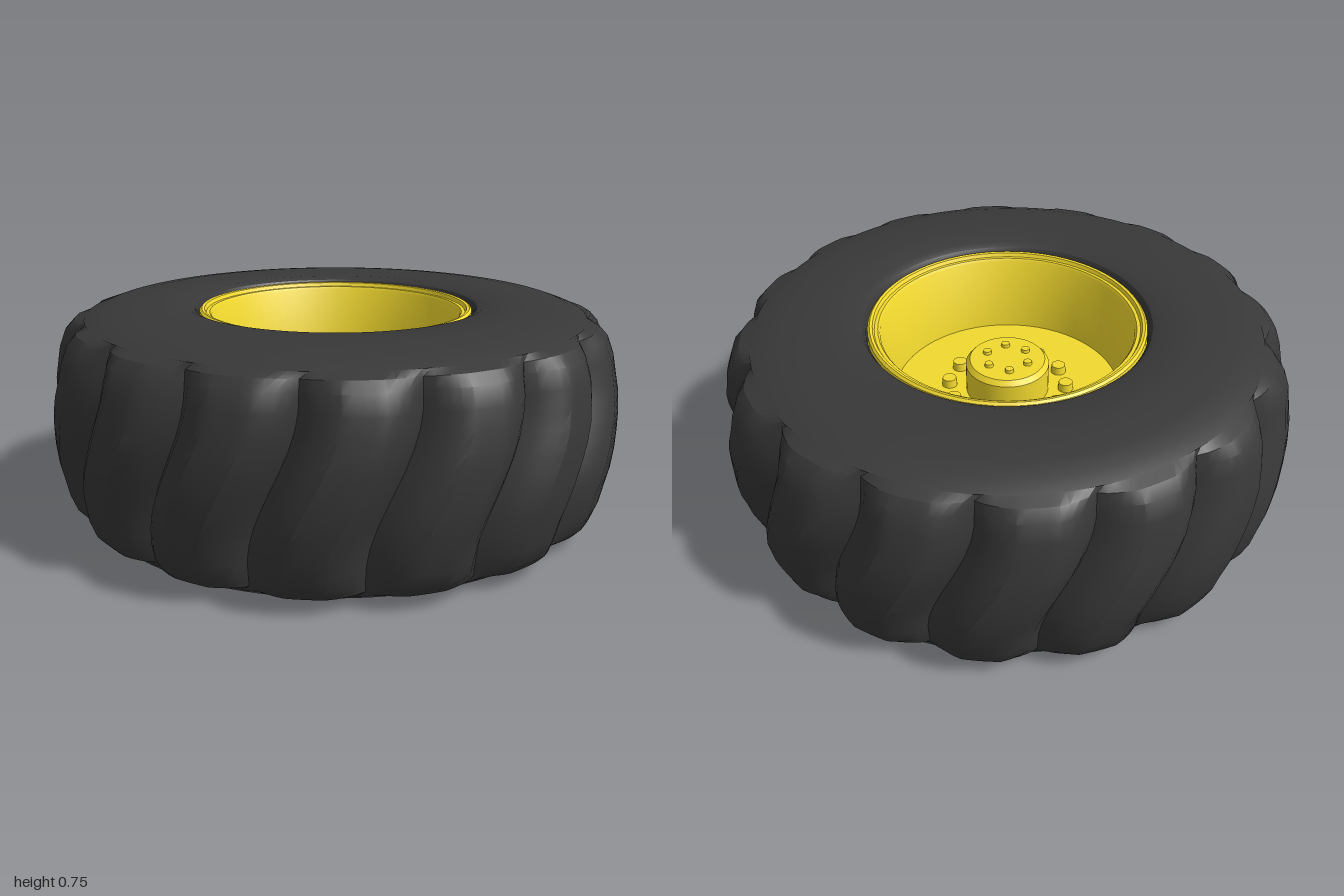
import * as THREE from 'three';
import { toCreasedNormals } from 'three/addons/utils/BufferGeometryUtils.js';

const MID = 0.3775; // half the wheel's width; parts are built around y = 0
const LUGS = 16;
const rubber = new THREE.MeshStandardMaterial({ color: 0x383838, side: THREE.DoubleSide });
const paint = new THREE.MeshStandardMaterial({ color: 0xf2d92e, side: THREE.DoubleSide });

function add(parent, name, geometry, material) {
  const mesh = new THREE.Mesh(geometry, material);
  mesh.name = name;
  parent.add(mesh);
  return mesh;
}

// Revolved profile with crisp edges
function lathe(points, segments = 64) {
  const profile = points.map(([r, y]) => new THREE.Vector2(r, y));
  return toCreasedNormals(new THREE.LatheGeometry(profile, segments), 0.5);
}

// Lugged tread: each ring blends a groove and a crest profile, twisted in an S
function treadGeometry() {
  // [crest radius, crest height, groove radius, groove height], centre to shoulder
  const half = [
    [1.01, 0, 0.915, 0], [1.009, 0.06, 0.914, 0.06], [1.003, 0.12, 0.91, 0.12],
    [0.99, 0.18, 0.905, 0.18], [0.978, 0.24, 0.9, 0.235], [0.955, 0.3, 0.893, 0.29],
    [0.925, 0.332, 0.888, 0.325], [0.88, 0.347, 0.88, 0.345],
  ];
  const rings = [
    ...half.slice(1).reverse().map(([a, b, c, d]) => [a, -b, c, -d]),
    ...half,
  ];
  const steps = 12;
  const count = LUGS * steps;
  const positions = [];
  const index = [];
  rings.forEach(([cr, cy, gr, gy], j) => {
    const twist = (THREE.MathUtils.smoothstep(gy, -0.26, 0.26) - 0.5) * 0.18;
    for (let i = 0; i < count; i++) {
      const wave = Math.abs(Math.sin((i / steps) * Math.PI));
      const f = Math.min(1, 1.12 * Math.pow(wave, 0.8));
      const angle = (i / count) * Math.PI * 2 + twist;
      const r = THREE.MathUtils.lerp(gr, cr, f);
      positions.push(r * Math.sin(angle), THREE.MathUtils.lerp(gy, cy, f), r * Math.cos(angle));
      if (j < rings.length - 1) {
        const a = j * count + i;
        const b = j * count + ((i + 1) % count);
        index.push(a, b, b + count, a, b + count, a + count);
      }
    }
  });
  const geometry = new THREE.BufferGeometry();
  geometry.setAttribute('position', new THREE.Float32BufferAttribute(positions, 3));
  geometry.setIndex(index);
  return toCreasedNormals(geometry, 0.45);
}

// Ring of bolt heads standing on a face
function boltRing(parent, name, count, ringRadius, size, height, y, start) {
  const geometry = new THREE.CylinderGeometry(size * 0.9, size, height, 16);
  for (let i = 0; i < count; i++) {
    const a = start + (i / count) * Math.PI * 2;
    add(parent, name, geometry, paint)
      .position.set(Math.cos(a) * ringRadius, y + height / 2, Math.sin(a) * ringRadius);
  }
}

// Everything repeated on both faces of the wheel
function wheelFace(name) {
  const face = new THREE.Group();
  face.name = name;
  add(face, 'sidewall', lathe([
    [0.487, 0.3], [0.493, 0.345], [0.505, 0.364], [0.53, 0.3755], [0.65, 0.3775],
    [0.77, 0.372], [0.84, 0.362], [0.885, 0.346],
  ], 96), rubber);
  // Stepped lip running into the tapered barrel
  add(face, 'rim', lathe([
    [0.49, 0.3], [0.488, 0.352], [0.48, 0.36], [0.47, 0.358], [0.464, 0.345],
    [0.452, 0.345], [0.445, 0.335], [0.41, 0.065],
  ]), paint);
  add(face, 'hub', lathe([
    [0.15, 0.06], [0.15, 0.172], [0.135, 0.19], [0, 0.19],
  ], 48), paint);
  boltRing(face, 'wheelBolt', 12, 0.213, 0.028, 0.03, 0.065, 0);
  boltRing(face, 'hubBolt', 6, 0.08, 0.016, 0.012, 0.19, -0.15);
  return face;
}

export function createModel() {
  const wheel = new THREE.Group();
  wheel.name = 'wheel';
  const body = new THREE.Group();
  body.name = 'wheelBody';
  body.position.y = MID;
  wheel.add(body);

  add(body, 'tread', treadGeometry(), rubber);
  add(body, 'wheelDisc', new THREE.CylinderGeometry(0.412, 0.412, 0.13, 64), paint);

  const upper = wheelFace('upperFace');
  const lower = wheelFace('lowerFace');
  lower.rotation.x = Math.PI;
  body.add(upper, lower);
  return wheel;
}
